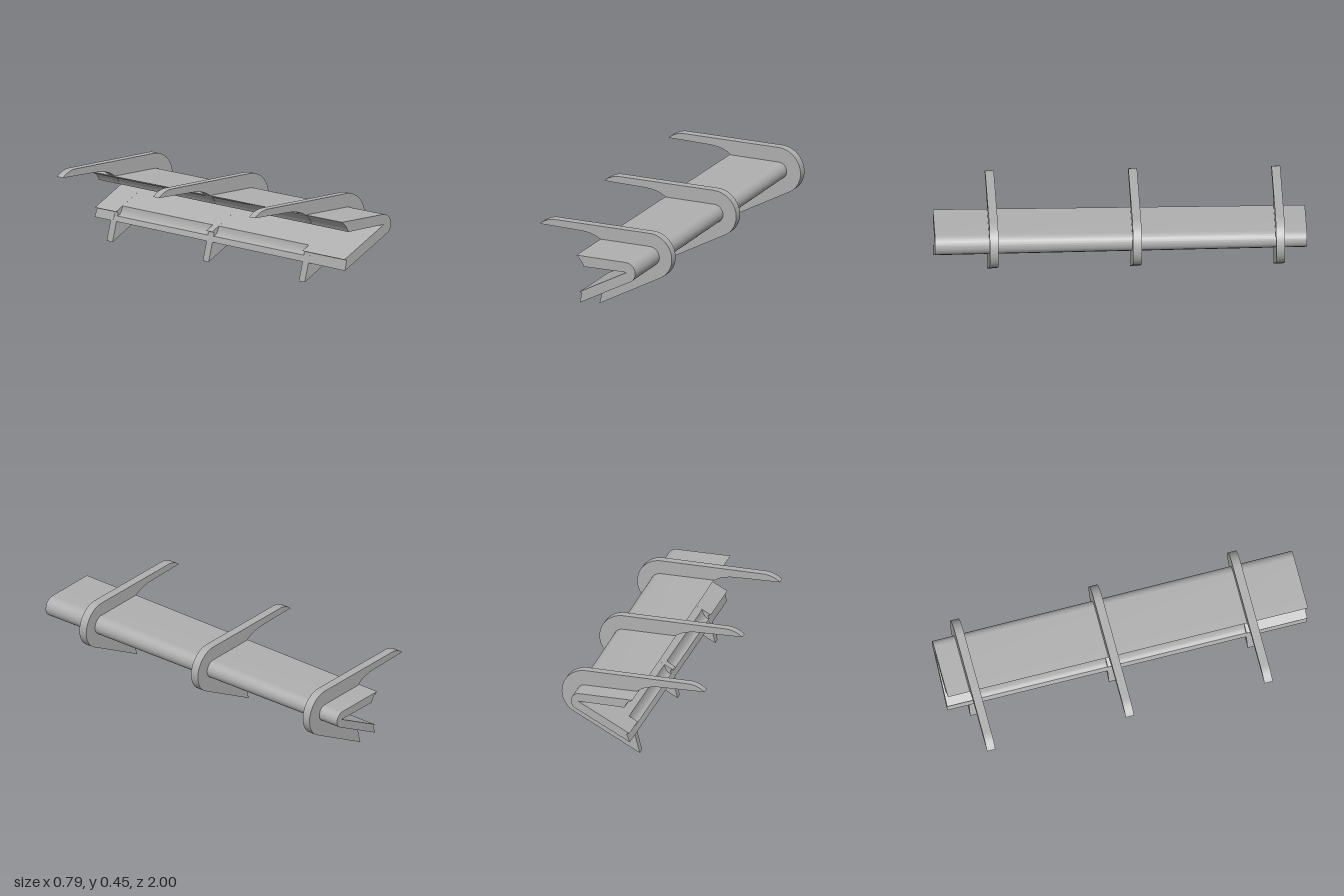
import * as THREE from 'three';
import { toCreasedNormals } from 'three/addons/utils/BufferGeometryUtils.js';

const bend = new THREE.Vector2(0.267, 0.32);
const lowNormal = new THREE.Vector2(0.479, -0.878);
const lowAngle = Math.atan2(lowNormal.y, lowNormal.x);

// rounded outer bend, running from the upper limb to the lower limb
function addBend(shape, radius) {
  shape.absarc(bend.x, bend.y, radius, Math.PI / 2 + 0.02, lowAngle, true);
}

// inner V and the lower edge, plain with a lip or scooped out
function addInside(shape, scooped) {
  if (scooped) {
    shape.lineTo(-0.0017, 0.14);
    shape.quadraticCurveTo(0.025, 0.145, 0.035, 0.191);
  } else {
    shape.lineTo(0.003, 0.16);
    shape.lineTo(-0.013, 0.165);
  }
  shape.lineTo(0.272, 0.321);
  shape.lineTo(0.015, 0.313);
}

function bodyShape(scooped) {
  const s = new THREE.Shape();
  s.moveTo(-0.03, 0.372);
  addBend(s, 0.057);
  s.lineTo(-0.01, 0.104);
  addInside(s, scooped);
  s.quadraticCurveTo(0.002, 0.348, -0.03, 0.372);
  return s;
}

function ribShape() {
  const s = new THREE.Shape();
  s.moveTo(-0.398, 0.4);
  s.bezierCurveTo(-0.37, 0.425, -0.335, 0.438, -0.305, 0.438);
  addBend(s, 0.13);
  s.lineTo(-0.038, 0.003);
  addInside(s, false);
  s.bezierCurveTo(-0.012, 0.373, -0.07, 0.4, -0.16, 0.4);
  s.lineTo(-0.398, 0.4);
  return s;
}

function extrude(shape, z0, z1) {
  const g = new THREE.ExtrudeGeometry(shape, { depth: z1 - z0, bevelEnabled: false, curveSegments: 24 });
  return g.translate(0, 0, z0);
}

// the folded plate gets slightly thinner towards the back
function taper(geometry) {
  const p = geometry.attributes.position;
  const v = new THREE.Vector2();
  const n = new THREE.Vector2();
  for (let i = 0; i < p.count; i++) {
    v.set(p.getX(i), p.getY(i)).sub(bend);
    if (v.x > -0.003 && v.length() > 0.03) n.copy(v).normalize();
    else if (v.y > 0.04) n.set(0, 1);
    else if (v.dot(lowNormal) > 0.045) n.copy(lowNormal);
    else continue;
    const amount = 0.011 * (1 - p.getZ(i)) / 2;
    p.setXY(i, p.getX(i) - n.x * amount, p.getY(i) - n.y * amount);
  }
  return geometry;
}

export function createModel() {
  const model = new THREE.Group();
  model.name = 'ribbedChannel';
  const grey = new THREE.MeshStandardMaterial({ color: 0xb0b0b0 });
  grey.name = 'grey';

  const add = (geometry, name) => {
    const mesh = new THREE.Mesh(toCreasedNormals(geometry, 0.5), grey);
    mesh.name = name;
    model.add(mesh);
  };

  // folded plate, scooped along its lower edge between the ribs
  const ribs = [-0.855, -0.085, 0.685];
  const cuts = [-1, ...ribs, 1];
  for (let i = 0; i < 4; i++) {
    const scooped = i === 1 || i === 2;
    add(taper(extrude(bodyShape(scooped), cuts[i], cuts[i + 1])), scooped ? 'scoopedPlate' : 'endPlate');
  }

  // hooked ribs
  ribs.forEach((z) => add(extrude(ribShape(), z - 0.0235, z + 0.0235), 'rib'));
  return model;
}
